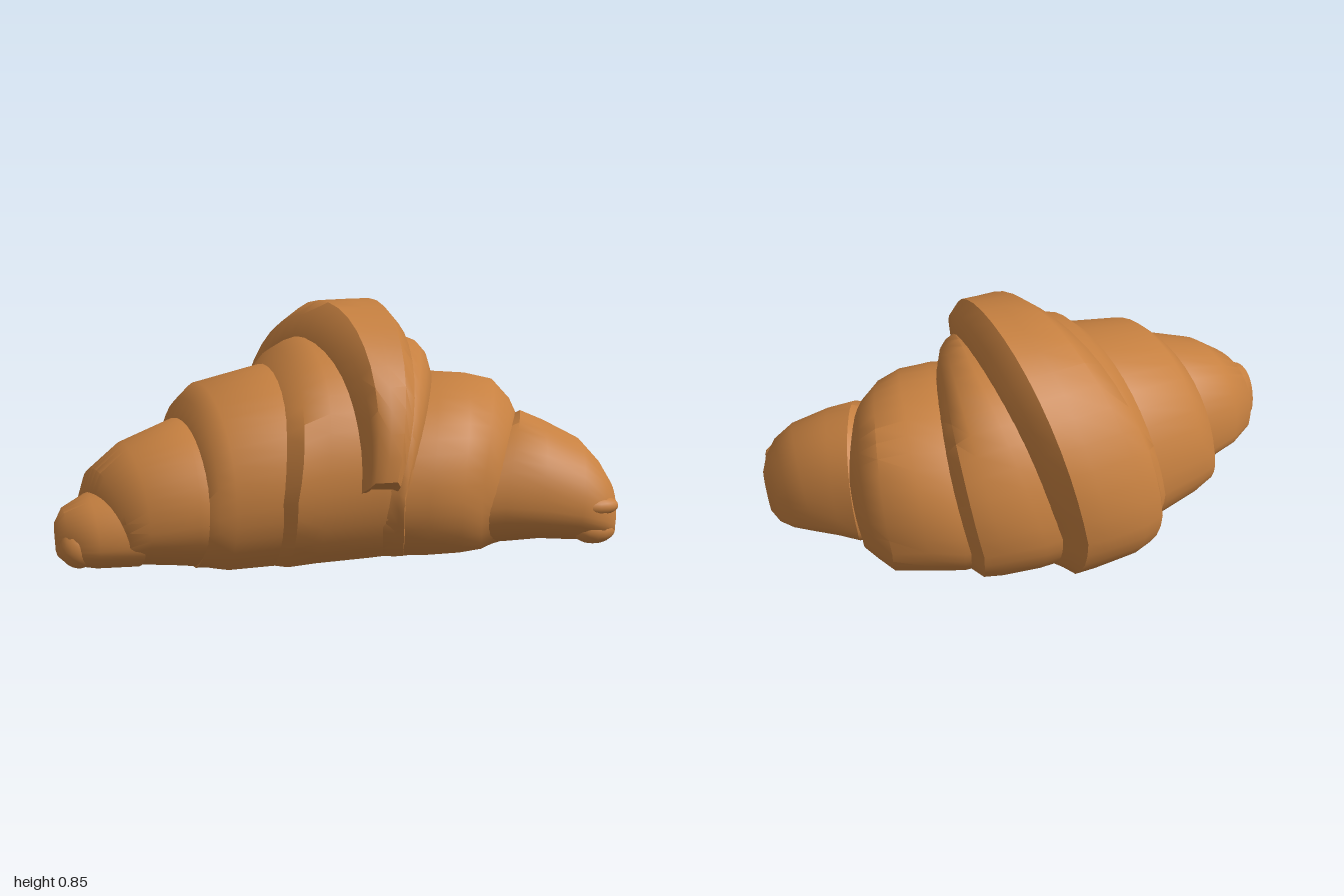
import * as THREE from 'three';
import { toCreasedNormals } from 'three/addons/utils/BufferGeometryUtils.js';

const SIDES = 40;

// One rolled dough layer, lofted through slanted rings.
// Ring: [x at front, x at top, x at back, front z, back z, height, underside lift]
function layerGeometry(rings, flap) {
  const pos = [], index = [];
  rings.forEach(([xf, xt, xb, zf, zb, h, lift = 0], i) => {
    const mid = (xf + xb) / 2, zc = (zf + zb) / 2, rz = (zf - zb) / 2;
    for (let j = 0; j < SIDES; j++) {
      const a = (j / SIDES) * Math.PI * 2;
      const c = Math.cos(a), s = Math.sin(a);
      // the loose end of the middle layer stops above the base at the front
      const tuck = flap && c > 0 && s < -0.1 ? 0.8 : 1;
      const wobble = 1 + 0.006 * Math.sin(a * 5 + i * 1.7 + xt * 9);
      const cz = Math.sign(c) * Math.pow(Math.abs(c), s < 0 ? 0.88 : 0.95);
      // widest point sits lower at the back than at the front
      const cy = h * (0.335 + 0.055 * c);
      const ry = s > 0 ? h - cy : h * (0.5 + 0.05 * c) - lift;
      pos.push(
        mid + (c * (xf - xb)) / 2 + Math.max(s, 0) * (xt - mid),
        Math.max(0, cy + ry * s),
        zc + cz * rz * tuck * wobble
      );
    }
  });
  for (let i = 0; i < rings.length - 1; i++) {
    for (let j = 0; j < SIDES; j++) {
      const k = (j + 1) % SIDES;
      const a = i * SIDES + j, b = a + SIDES, d = i * SIDES + k, e = d + SIDES;
      index.push(a, b, d, b, e, d);
    }
  }
  // close both ends
  [0, rings.length - 1].forEach((i) => {
    const [xf, xt, xb, zf, zb, h] = rings[i];
    const centre = pos.length / 3;
    pos.push((xf + 2 * xt + xb) / 4, h * 0.45, (zf + zb) / 2);
    for (let j = 0; j < SIDES; j++) {
      const a = i * SIDES + j, b = i * SIDES + ((j + 1) % SIDES);
      if (i === 0) index.push(centre, a, b);
      else index.push(centre, b, a);
    }
  });
  const geo = new THREE.BufferGeometry();
  geo.setAttribute('position', new THREE.Float32BufferAttribute(pos, 3));
  geo.setIndex(index);
  return toCreasedNormals(geo, 0.65);
}

const LAYERS = {
  rightTip: [
    [-0.99, -1, -1, 0.28, 0.2, 0.16, 0.07], [-0.95, -0.97, -0.98, 0.34, 0.14, 0.21, 0.05],
    [-0.85, -0.88, -0.9, 0.39, 0.05, 0.25, 0.04], [-0.7, -0.75, -0.8, 0.4, 0.02, 0.28, 0.04],
  ],
  rightOuterLayer: [
    [-0.78, -0.87, -0.93, 0.36, 0.08, 0.25, 0.05], [-0.75, -0.85, -0.9, 0.4, 0.02, 0.33, 0.055],
    [-0.68, -0.75, -0.8, 0.42, -0.06, 0.41, 0.06], [-0.52, -0.56, -0.63, 0.46, -0.14, 0.48, 0.05],
    [-0.42, -0.45, -0.5, 0.45, -0.13, 0.46, 0.04],
  ],
  rightMiddleLayer: [
    [-0.5, -0.56, -0.65, 0.45, -0.14, 0.46, 0.03], [-0.46, -0.52, -0.62, 0.475, -0.23, 0.54, 0.02],
    [-0.4, -0.47, -0.55, 0.48, -0.27, 0.59], [-0.22, -0.22, -0.37, 0.48, -0.34, 0.64],
    [-0.1, -0.1, -0.25, 0.47, -0.35, 0.63],
  ],
  rightInnerLayer: [
    [-0.26, -0.24, -0.36, 0.47, -0.34, 0.63], [-0.2, -0.18, -0.32, 0.515, -0.4, 0.69],
    [-0.1, -0.1, -0.24, 0.5, -0.42, 0.73], [0.1, 0.1, 0, 0.48, -0.46, 0.73],
    [0.2, 0.2, 0.1, 0.46, -0.42, 0.68],
  ],
  centreWrap: [
    [0.02, -0.1, -0.29, 0.49, -0.42, 0.72], [0.04, -0.06, -0.28, 0.53, -0.49, 0.8],
    [0.055, 0, -0.2, 0.545, -0.53, 0.85], [0.09, 0.1, -0.05, 0.55, -0.55, 0.85],
    [0.13, 0.18, 0.03, 0.545, -0.55, 0.85], [0.145, 0.23, 0.06, 0.53, -0.5, 0.79],
    [0.15, 0.25, 0.1, 0.47, -0.44, 0.7],
  ],
  leftInnerLayer: [
    [0.05, 0.18, 0.02, 0.46, -0.45, 0.71], [0.12, 0.27, 0.15, 0.475, -0.465, 0.72],
    [0.15, 0.33, 0.3, 0.485, -0.45, 0.69], [0.17, 0.36, 0.37, 0.485, -0.43, 0.65],
    [0.18, 0.38, 0.4, 0.46, -0.37, 0.57],
  ],
  leftMiddleLayer: [
    [0.1, 0.3, 0.3, 0.46, -0.37, 0.57], [0.26, 0.39, 0.42, 0.48, -0.37, 0.58],
    [0.38, 0.5, 0.54, 0.475, -0.32, 0.575], [0.46, 0.6, 0.66, 0.44, -0.27, 0.55],
    [0.5, 0.66, 0.7, 0.42, -0.2, 0.48, 0.03], [0.54, 0.69, 0.73, 0.4, -0.12, 0.4, 0.04],
  ],
  leftOuterLayer: [
    [0.45, 0.6, 0.66, 0.41, -0.08, 0.41, 0.05], [0.55, 0.68, 0.74, 0.43, -0.09, 0.45, 0.06],
    [0.68, 0.76, 0.8, 0.45, -0.04, 0.42, 0.07], [0.82, 0.88, 0.88, 0.465, 0.03, 0.36, 0.06],
    [0.91, 0.94, 0.94, 0.46, 0.09, 0.29, 0.05], [0.96, 0.98, 0.98, 0.43, 0.15, 0.22, 0.05],
    [0.98, 1, 1, 0.37, 0.23, 0.17, 0.06],
  ],
};

// Little lobes of dough pressed into the tips: name, position, radii
const FOLDS = [
  ['leftUpperFold', [0.89, 0.16, 0.42], [0.08, 0.035, 0.045]],
  ['leftLowerFold', [0.89, 0.065, 0.4], [0.08, 0.05, 0.055]],
  ['rightFold', [-0.92, 0.085, 0.3], [0.065, 0.07, 0.06]],
];

export function createModel() {
  const group = new THREE.Group();
  group.name = 'croissant';
  const crust = new THREE.MeshStandardMaterial({ color: 0xc68040 });
  crust.name = 'golden crust';

  for (const [name, rings] of Object.entries(LAYERS)) {
    const mesh = new THREE.Mesh(layerGeometry(rings, name === 'centreWrap'), crust);
    mesh.name = name;
    group.add(mesh);
  }

  for (const [name, position, radii] of FOLDS) {
    const fold = new THREE.Mesh(new THREE.SphereGeometry(1, 16, 12), crust);
    fold.name = name;
    fold.position.set(...position);
    fold.scale.set(...radii);
    group.add(fold);
  }
  return group;
}
